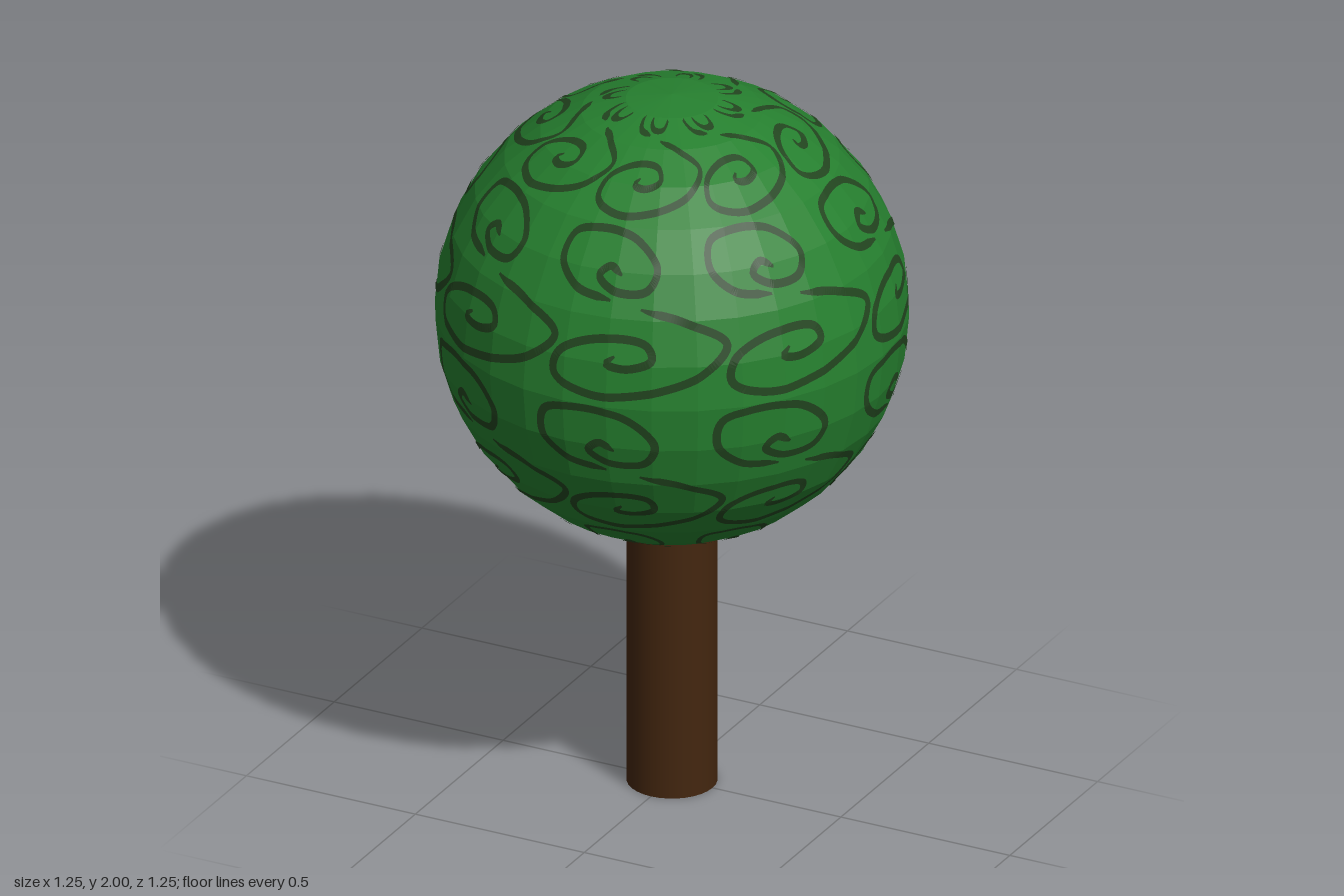
import * as THREE from 'three';

const RADIUS = 0.625, CENTER_Y = 1.375, STEP = 11.25; // 32 x 16 facets
const rad = THREE.MathUtils.degToRad;

// Point on the smooth sphere, longitude from +z towards +x
function onSphere(lon, lat) {
  const a = rad(lon), b = rad(lat);
  return new THREE.Vector3(Math.sin(a) * Math.cos(b), Math.sin(b), Math.cos(a) * Math.cos(b)).multiplyScalar(RADIUS);
}

// Point on the faceted sphere, raised a little above the surface
function onFacet(lon, lat, lift = 0.003) {
  const i = Math.floor(lon / STEP), j = Math.floor(lat / STEP);
  const s = lon / STEP - i, t = lat / STEP - j;
  const corner = (di, dj) => onSphere((i + di) * STEP, (j + dj) * STEP);
  const low = corner(0, 0).lerp(corner(1, 0), s);
  const high = corner(0, 1).lerp(corner(1, 1), s);
  const p = low.lerp(high, t);
  return p.addScaledVector(p.clone().normalize(), lift);
}

// Two swirl paths in degrees of longitude and latitude, outer tail first
const WIDE_SWIRL = [[20.6, 25.1], [31.9, 22.3], [43, 16.3], [36.7, 9.3], [23.3, 4.4], [8.1, 2.9], [-1.2, 6.8],
  [0, 12.7], [11, 17.3], [22.5, 16.4], [23.9, 12.9], [17.5, 10.3], [12.5, 11.4], [14.5, 13.3]];
const ROUND_SWIRL = [[12.1, -18.3], [1.8, -16.3], [-4.7, -10.3], [-3.7, -3.4], [6.6, -1], [17.6, -2.9],
  [24.7, -9.8], [22, -15.4], [13, -16], [7.8, -12.7], [10.8, -10], [14.5, -12]];

// Ribbon that follows a swirl, repeated around and up the crown
function addSwirls(path, rows, positions) {
  const curve = new THREE.CatmullRomCurve3(path.map(([x, y]) => new THREE.Vector3(x - 1.5, y, 0)));
  const n = 160;
  const points = curve.getSpacedPoints(n);
  const edges = points.map((p, k) => {
    const d = points[Math.min(k + 1, n)].clone().sub(points[Math.max(k - 1, 0)]).normalize();
    const half = 1.05 * Math.min(1, 0.3 + k / 10, 0.3 + (n - k) / 6);
    return [[p.x - d.y * half, p.y + d.x * half], [p.x + d.y * half, p.y - d.x * half]];
  });
  for (const row of rows) {
    for (let col = 0; col < 8; col++) {
      const place = ([x, y]) => onFacet(x + col * 45, y + row * 45);
      for (let k = 0; k < n; k++) {
        const [l0, r0] = edges[k], [l1, r1] = edges[k + 1];
        // The caps around both poles stay plain
        if ([l0, r0, l1, r1].some((e) => Math.abs(e[1] + row * 45) > 78.5)) continue;
        for (const e of [r0, r1, l1, r0, l1, l0]) positions.push(...place(e).toArray());
      }
    }
  }
}

export function createModel() {
  const model = new THREE.Group();
  model.name = 'tree';

  const leafGreen = new THREE.MeshStandardMaterial({ color: 0x26802f, flatShading: true });
  leafGreen.name = 'leaf green';
  const swirlGreen = new THREE.MeshStandardMaterial({ color: 0x22451f, flatShading: true });
  swirlGreen.name = 'dark swirl green';
  const barkBrown = new THREE.MeshStandardMaterial({ color: 0x43260f });
  barkBrown.name = 'bark brown';

  // Trunk, reaching a little into the crown
  const trunk = new THREE.Mesh(new THREE.CylinderGeometry(0.12, 0.12, 0.86, 32), barkBrown);
  trunk.name = 'trunk';
  trunk.position.y = 0.43;
  model.add(trunk);

  // Faceted ball crown
  const crown = new THREE.Mesh(new THREE.SphereGeometry(RADIUS, 32, 16), leafGreen);
  crown.name = 'crown';
  crown.position.y = CENTER_Y;
  model.add(crown);

  // Painted swirls over the whole crown
  const positions = [];
  addSwirls(WIDE_SWIRL, [-2, -1, 0, 1], positions);
  addSwirls(ROUND_SWIRL, [-1, 0, 1, 2], positions);
  const geometry = new THREE.BufferGeometry();
  geometry.setAttribute('position', new THREE.Float32BufferAttribute(positions, 3));
  geometry.computeVertexNormals();
  const swirls = new THREE.Mesh(geometry, swirlGreen);
  swirls.name = 'crownSwirls';
  swirls.position.y = CENTER_Y;
  model.add(swirls);

  return model;
}
